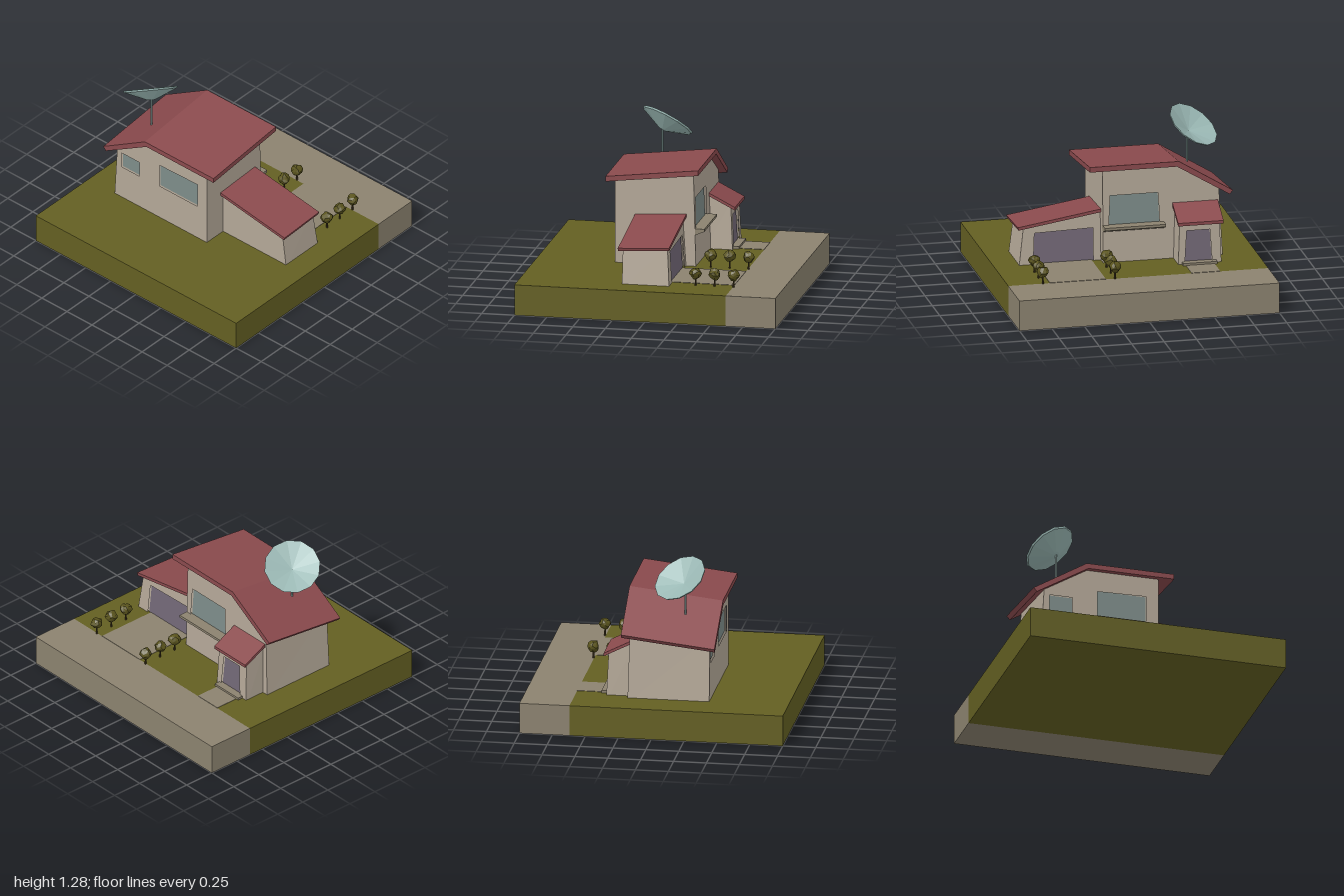
import * as THREE from 'three';

const mat = (name, color) => Object.assign(new THREE.MeshStandardMaterial({ color }), { name });
const M = {
  grass: mat('grass', 0x635f22),
  paving: mat('paving', 0x8b826f),
  wall: mat('wall', 0xb3a797),
  roof: mat('roof', 0x8a4a4d),
  glass: mat('glass', 0x7d8c89),
  door: mat('door', 0x726876),
  dish: mat('dish', 0x9ab8b4),
  foliage: mat('foliage', 0x5a541d),
  trunk: mat('trunk', 0x45381f),
};
const G = 0.235;            // ground level
const BURY = G - 0.02;      // foundations reach below the ground
const SKIN = 0.018;         // depth of window and door recesses

function mesh(parent, name, geo, material) {
  const m = new THREE.Mesh(geo, material);
  m.name = name;
  parent.add(m);
  return m;
}

function box(parent, name, material, x0, x1, y0, y1, z0, z1) {
  const m = mesh(parent, name, new THREE.BoxGeometry(x1 - x0, y1 - y0, z1 - z0), material);
  m.position.set((x0 + x1) / 2, (y0 + y1) / 2, (z0 + z1) / 2);
  return m;
}

// Flat facets on a shared-vertex geometry
function facet(geo) {
  const g = geo.index ? geo.toNonIndexed() : geo;
  g.computeVertexNormals();
  return g;
}

// Extrudes a [z, y] profile along x from a to b. Within the body span x0..x1 the right side
// leans in by taper, and points above 'above' sink by drop towards x0.
function slab(profile, a, b, { x0 = a, x1 = b, drop = 0, taper = 0, above = -1, holes = [] } = {}) {
  const pts = (list) => list.map(([z, y]) => new THREE.Vector2(-z, y));
  const shape = new THREE.Shape(pts(profile));
  holes.forEach((h) => shape.holes.push(new THREE.Path(pts(h))));
  const geo = new THREE.ExtrudeGeometry(shape, { depth: b - a, bevelEnabled: false });
  geo.rotateY(Math.PI / 2).translate(a, 0, 0);
  const p = geo.attributes.position;
  for (let i = 0; i < p.count; i++) {
    const f = (p.getX(i) - x0) / (x1 - x0);
    const y = p.getY(i);
    p.setX(i, p.getX(i) - f * taper * (y - G));
    if (y > above) p.setY(i, y - (1 - f) * drop);
  }
  geo.computeVertexNormals();
  return geo;
}

// Solid block with recessed openings in its left and right walls
function building(parent, name, profile, x0, x1, opts, right = [], left = []) {
  const g = new THREE.Group();
  g.name = name;
  parent.add(g);
  const o = { x0, x1, ...opts };
  const outlines = (list) => list.map((w) => w.outline);
  mesh(g, 'wallCore', slab(profile, x0 + SKIN, x1 - SKIN, o), M.wall);
  mesh(g, 'wallRight', slab(profile, x1 - SKIN, x1, { ...o, holes: outlines(right) }), M.wall);
  mesh(g, 'wallLeft', slab(profile, x0, x0 + SKIN, { ...o, holes: outlines(left) }), M.wall);
  right.forEach((w) => mesh(g, w.name, slab(w.outline, x1 - SKIN, x1 - SKIN + 0.004, o), w.material));
  left.forEach((w) => mesh(g, w.name, slab(w.outline, x0 + SKIN - 0.004, x0 + SKIN, o), w.material));
  return g;
}

function tree(parent, x, z, seed) {
  const g = new THREE.Group();
  g.name = 'tree';
  const trunk = mesh(g, 'trunk', facet(new THREE.CylinderGeometry(0.005, 0.008, 0.08, 5)), M.trunk);
  trunk.position.y = 0.035;
  // Lumpy crown, narrower towards the bottom
  const crown = new THREE.IcosahedronGeometry(0.05, 1);
  const p = crown.attributes.position;
  const v = new THREE.Vector3();
  for (let i = 0; i < p.count; i++) {
    v.fromBufferAttribute(p, i);
    const key = Math.round(v.x * 1000) * 12.99 + Math.round(v.y * 1000) * 78.23 + Math.round(v.z * 1000) * 37.72;
    const n = Math.abs(Math.sin(key + seed * 5.1) * 43.7) % 1;
    v.multiplyScalar(0.78 + 0.28 * n);
    const narrow = v.y < 0 ? 1 + v.y * 6 : 1;
    p.setXYZ(i, v.x * narrow, v.y, v.z * narrow);
  }
  mesh(g, 'crown', facet(crown), M.foliage).position.y = 0.092;
  g.position.set(x, G, z);
  g.rotation.y = seed * 1.3;
  parent.add(g);
}

export function createModel() {
  const root = new THREE.Group();
  root.name = 'house';

  // Plot of land
  box(root, 'lawn', M.grass, -1, 0.62, 0, G, -1, 1);
  box(root, 'street', M.paving, 0.62, 1, 0, G, -1, 1);
  box(root, 'driveway', M.paving, 0.1, 0.62, G - 0.003, G + 0.003, 0.25, 0.68);
  box(root, 'entrancePath', M.paving, 0.3, 0.62, G - 0.003, G + 0.003, -0.63, -0.41);

  // Main house
  const win = (name, outline) => ({ name, outline, material: M.glass });
  building(root, 'mainHouse',
    [[0.18, BURY], [0.18, 0.978], [-0.4, 0.978], [-0.712, 0.785], [-0.741, BURY]],
    -0.4, 0.22, { drop: 0.069, taper: 0.025, above: 0.77 },
    [win('rightWindow', [[0.135, 0.52], [0.122, 0.755], [-0.245, 0.755], [-0.258, 0.52]])],
    [win('leftWindow', [[0.085, 0.53], [0.085, 0.735], [-0.295, 0.735], [-0.295, 0.53]]),
      win('smallLeftWindow', [[-0.49, 0.52], [-0.49, 0.65], [-0.67, 0.65], [-0.67, 0.52]])]);
  mesh(root, 'mainRoof', slab(
    [[0.29, 1.005], [-0.395, 1.005], [-0.81, 0.75], [-0.785, 0.72], [-0.38, 0.965], [0.29, 0.965]],
    -0.45, 0.26, { drop: 0.08 }), M.roof);

  // Window ledge, sloping underneath
  const ledge = new THREE.Shape([[0.19, 0.525], [0.19, 0.472], [0.22, 0.478], [0.285, 0.505], [0.285, 0.525]]
    .map(([x, y]) => new THREE.Vector2(x, y)));
  mesh(root, 'windowLedge', new THREE.ExtrudeGeometry(ledge, { depth: 0.47, bevelEnabled: false }), M.paving)
    .position.z = -0.29;

  // Garage
  building(root, 'garage',
    [[0.81, BURY], [0.772, 0.525], [0.17, 0.625]], -0.215, 0.145,
    { drop: 0.018, taper: 0.065, above: 0.51 }, []).clear();
  root.remove(root.getObjectByName('garage'));
  building(root, 'garage',
    [[0.81, BURY], [0.772, 0.525], [0.17, 0.625], [0.17, BURY]], -0.215, 0.145,
    { drop: 0.018, taper: 0.065, above: 0.51 },
    [{ name: 'garageDoor', material: M.door,
      outline: [[0.7, G - 0.01], [0.688, 0.475], [0.235, 0.487], [0.235, G - 0.01]] }]);
  mesh(root, 'garageRoof', slab(
    [[0.82, 0.533], [0.17, 0.638], [0.17, 0.613], [0.813, 0.51]], -0.245, 0.148, { drop: 0.02 }), M.roof);

  // Entrance porch
  building(root, 'entrance',
    [[-0.36, BURY], [-0.374, 0.56], [-0.68, 0.56], [-0.693, BURY]], 0.15, 0.388,
    { drop: -0.125, taper: 0.045, above: 0.54 },
    [{ name: 'frontDoor', material: M.door,
      outline: [[-0.41, G - 0.01], [-0.428, 0.493], [-0.606, 0.493], [-0.622, G - 0.01]] }]);
  mesh(root, 'entranceRoof', slab(
    [[-0.355, 0.565], [-0.705, 0.565], [-0.705, 0.541], [-0.355, 0.541]], 0.15, 0.408, { drop: -0.132 }), M.roof);
  box(root, 'doorstep', M.paving, 0.36, 0.432, BURY, 0.254, -0.652, -0.388);

  // Satellite dish on its mast
  const dish = new THREE.Group();
  dish.name = 'satelliteDish';
  root.add(dish);
  mesh(dish, 'mast', facet(new THREE.CylinderGeometry(0.008, 0.008, 0.24, 8)), M.dish)
    .position.set(-0.19, 0.975, -0.557);
  const profile = [[0, 0], [0.03, 0.004], [0.205, 0.076], [0.212, 0.09], [0, 0.02]]
    .map(([r, y]) => new THREE.Vector2(r, y));
  const bowl = mesh(dish, 'bowl', facet(new THREE.LatheGeometry(profile, 12)), M.dish);
  bowl.position.set(-0.19, 1.084, -0.558);
  bowl.quaternion.setFromUnitVectors(new THREE.Vector3(0, 1, 0), new THREE.Vector3(0.39, 0.79, -0.467).normalize());

  // Rows of small trees beside the driveway
  [0.18, 0.735].forEach((z, row) =>
    [0.335, 0.48, 0.625].forEach((x, i) => tree(root, x, z, row * 3 + i)));

  return root;
}
